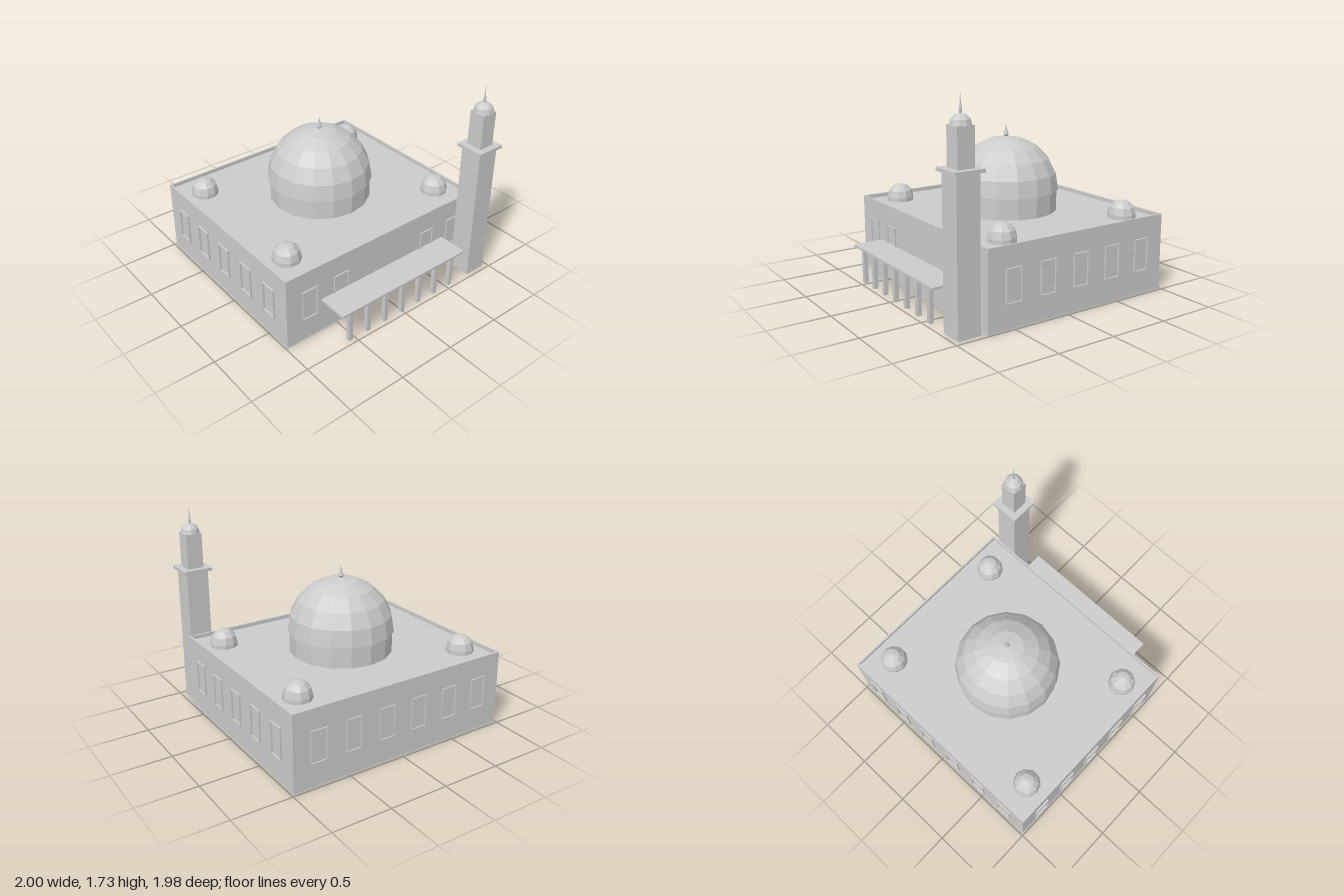
import * as THREE from 'three';

export function createModel() {
  const root = new THREE.Group();
  const mat = new THREE.MeshStandardMaterial({ color: 0xcccccc, flatShading: true, side: THREE.DoubleSide });
  const W = 0.985, D = 0.855, CZ = -0.125; // hall half-width, half-depth, centre z

  function add(name, geo, x = 0, y = 0, z = 0, parent = root) {
    const mesh = new THREE.Mesh(geo, mat);
    mesh.name = name;
    mesh.position.set(x, y, z);
    parent.add(mesh);
    return mesh;
  }
  // Box standing on y
  const box = (name, w, h, d, x, y, z) => add(name, new THREE.BoxGeometry(w, h, d), x, y + h / 2, z);

  // Rectangular ring in the XY plane, extruded along z
  function ring(w, h, t, depth) {
    const rect = (S, a, b) => {
      const s = new S();
      s.moveTo(-a, -b); s.lineTo(a, -b); s.lineTo(a, b); s.lineTo(-a, b); s.closePath();
      return s;
    };
    const shape = rect(THREE.Shape, w, h);
    shape.holes.push(rect(THREE.Path, w - t, h - t));
    return new THREE.ExtrudeGeometry(shape, { depth, bevelEnabled: false });
  }

  // Faceted dome: optional straight skirt, then a quarter circle in equal steps
  function dome(name, r, sides, rings, x, y, z, skirt = 0) {
    const pts = [new THREE.Vector2(0, -skirt)];
    if (skirt) pts.push(new THREE.Vector2(r, -skirt));
    for (let i = 0; i <= rings; i++) {
      const a = (i / rings) * Math.PI / 2;
      pts.push(new THREE.Vector2(i === rings ? 0 : r * Math.cos(a), r * Math.sin(a)));
    }
    const geo = new THREE.LatheGeometry(pts, sides);
    geo.rotateY(Math.PI / 2);
    return add(name, geo, x, y, z);
  }

  // Pointed finial with a narrow foot
  function finial(name, r, h, x, y, z) {
    const pts = [[0.5 * r, -0.02], [0.6 * r, 0], [r, 0.15 * h], [0.4 * r, 0.55 * h], [0, h]];
    add(name, new THREE.LatheGeometry(pts.map(p => new THREE.Vector2(...p)), 8), x, y, z);
  }

  // Hall: thin walls open below, base strip, sunken roof
  const walls = ring(W, D, 0.015, 0.645);
  walls.rotateX(-Math.PI / 2);
  add('walls', walls, 0, 0, CZ);
  const plinth = ring(W + 0.003, D + 0.003, 0.01, 0.008);
  plinth.rotateX(-Math.PI / 2);
  add('baseStrip', plinth, 0, 0, CZ);
  box('roof', 2 * W - 0.02, 0.012, 2 * D - 0.02, 0, 0.6, CZ);

  // Window frames, passing through the walls
  const frame = ring(0.072, 0.136, 0.009, 0.042);
  frame.translate(0, 0, -0.03);
  const windowAt = (x, z, turn) => { add('windowFrame', frame, x, 0.336, z).rotation.y = turn; };
  for (let i = 0; i < 6; i++) {
    const x = -0.765 + i * 0.306;
    windowAt(x, CZ - D, Math.PI);
    if (i < 2 || i > 3) windowAt(x, CZ + D, 0);
  }
  for (let i = 0; i < 5; i++) {
    const z = CZ + (i - 2) * 0.315;
    windowAt(W + 0.003, z, Math.PI / 2);
    windowAt(-W - 0.003, z, -Math.PI / 2);
  }

  // Entrance door
  box('door', 0.21, 0.305, 0.02, 0, 0, CZ + D - 0.008);

  // Main dome on its drum
  add('drum', new THREE.CylinderGeometry(0.43, 0.43, 0.185, 16), 0, 0.6975, CZ);
  dome('mainDome', 0.445, 16, 5, 0, 0.79, CZ);
  finial('mainFinial', 0.023, 0.105, 0, 1.232, CZ);

  // Corner domes
  for (const x of [-0.785, 0.785])
    for (const z of [-0.725, 0.47]) dome('cornerDome', 0.115, 10, 3, x, 0.645, z, 0.04);

  // Entrance canopy on posts
  box('canopy', 1.31, 0.02, 0.262, 0, 0.295, 0.859);
  for (let i = -3; i <= 3; i++) box('canopyPost', 0.037, 0.297, 0.037, i * 0.182, 0, 0.945);

  // Tower beside the front corner
  const tx = 0.857, tz = 0.865;
  box('towerShaft', 0.192, 1.19, 0.192, tx, 0, tz);
  box('towerGallery', 0.25, 0.027, 0.25, tx, 1.188, tz);
  box('towerLantern', 0.14, 0.3, 0.14, tx, 1.213, tz);
  dome('towerDome', 0.083, 10, 3, tx, 1.51, tz);
  finial('towerFinial', 0.012, 0.142, tx, 1.59, tz);

  return root;
}
